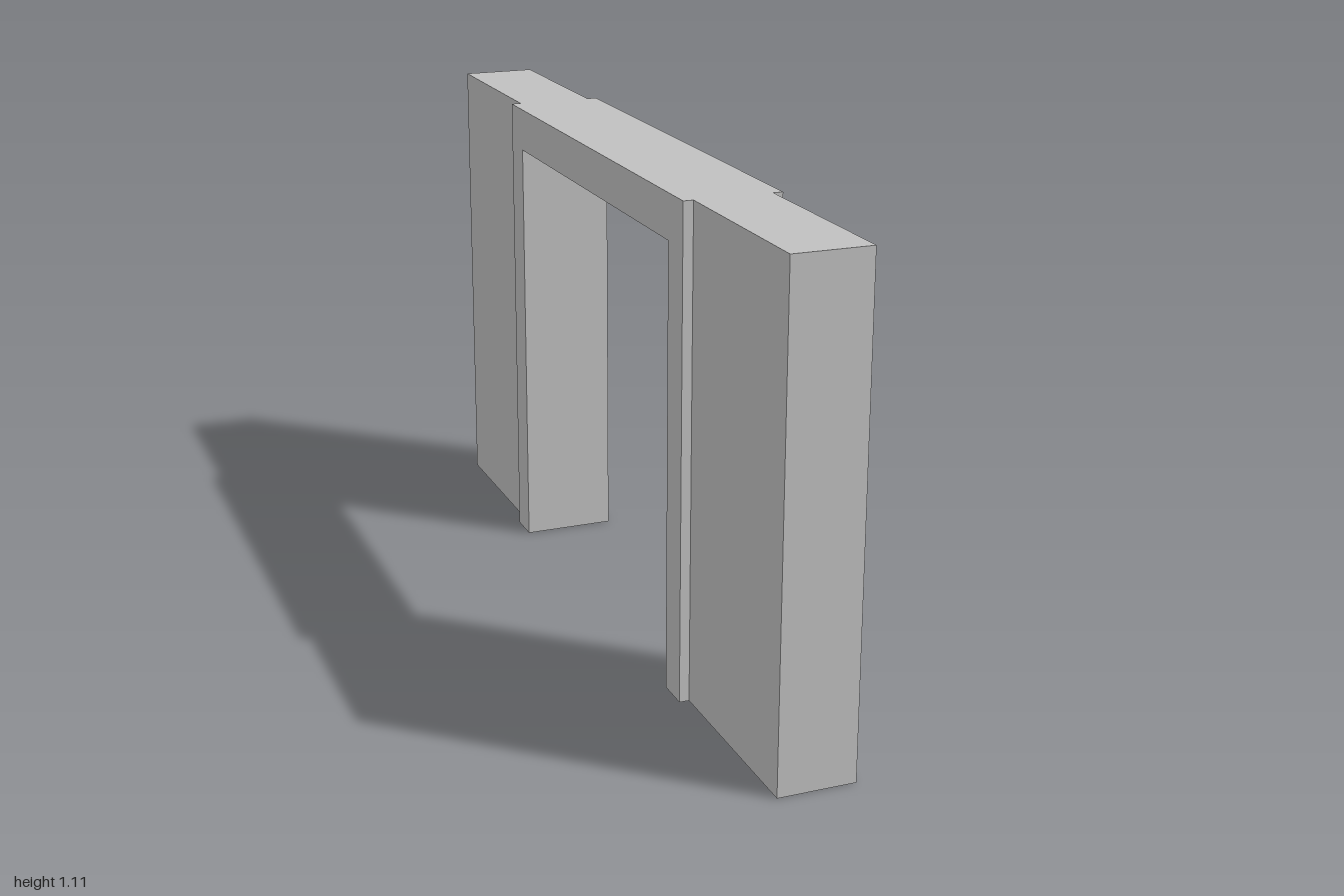
import * as THREE from 'three';

const HEIGHT = 1.11;
const WALL_HALF = 0.0875;   // half thickness of the walls
const FRAME_HALF = 0.11;    // half thickness of the door frame
const FRAME_OUT = 0.55;     // outer half width of the frame
const OPEN_HALF = 0.472;    // half width of the opening
const OPEN_TOP = 1.01;

export function createModel() {
  const model = new THREE.Group();
  model.name = 'doorwayWall';
  const plaster = new THREE.MeshStandardMaterial({ color: 0xc0c0c0 });
  plaster.name = 'light grey';

  // Door frame: two posts and a lintel as one portal outline
  const portal = new THREE.Shape([
    [-FRAME_OUT, 0], [-OPEN_HALF, 0], [-OPEN_HALF, OPEN_TOP], [OPEN_HALF, OPEN_TOP],
    [OPEN_HALF, 0], [FRAME_OUT, 0], [FRAME_OUT, HEIGHT], [-FRAME_OUT, HEIGHT],
  ].map(([z, y]) => new THREE.Vector2(z, y)));
  const frameGeo = new THREE.ExtrudeGeometry(portal, { depth: FRAME_HALF * 2, bevelEnabled: false });
  frameGeo.translate(0, 0, -FRAME_HALF).rotateY(-Math.PI / 2);
  const frame = new THREE.Mesh(frameGeo, plaster);
  frame.name = 'doorFrame';
  model.add(frame);

  // Thinner wall sections on either side of the frame
  const length = 1 - FRAME_OUT;
  for (const [name, side] of [['frontWall', 1], ['backWall', -1]]) {
    const wall = new THREE.Mesh(new THREE.BoxGeometry(WALL_HALF * 2, HEIGHT, length), plaster);
    wall.position.set(0, HEIGHT / 2, side * (FRAME_OUT + length / 2));
    wall.name = name;
    model.add(wall);
  }
  return model;
}
